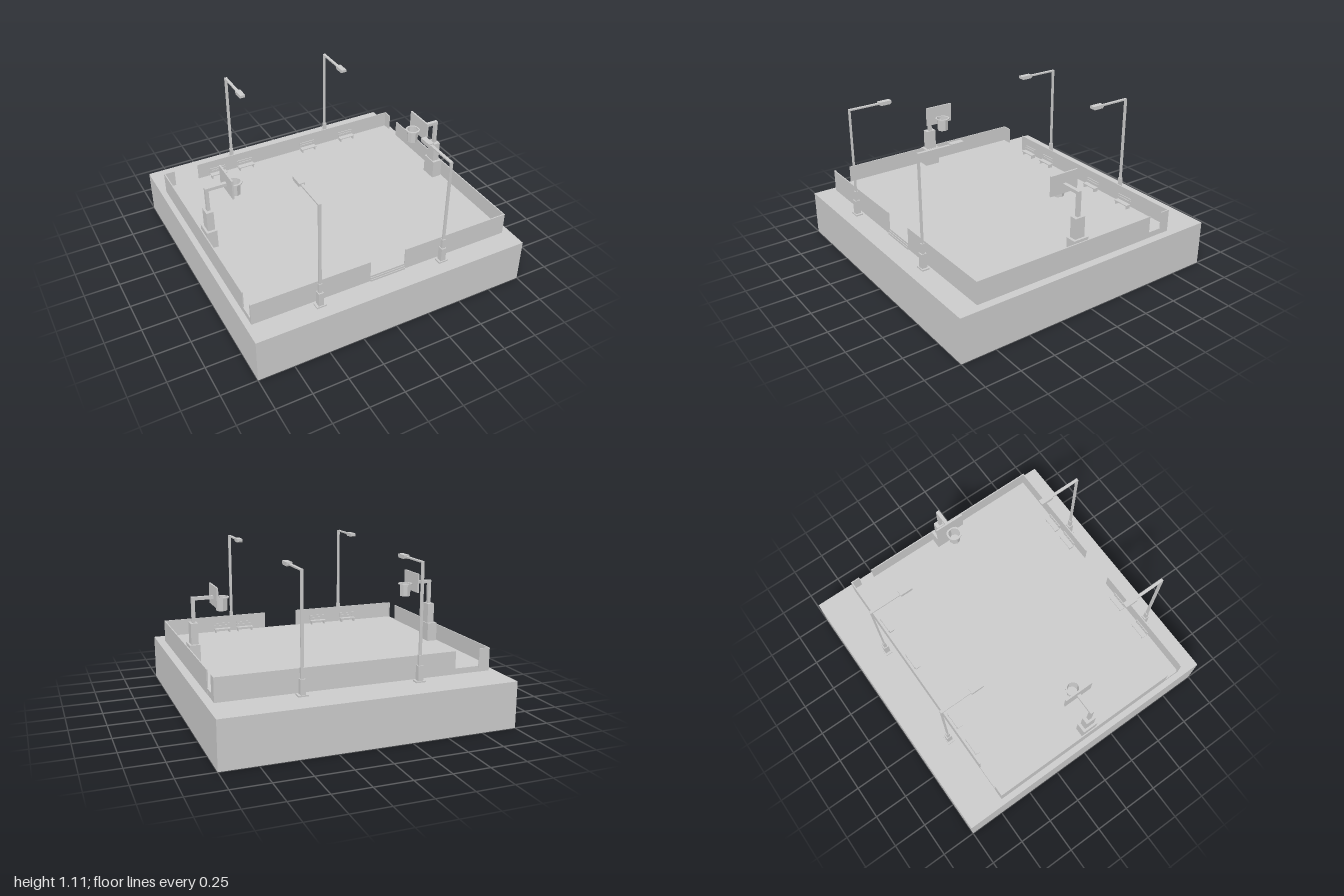
import * as THREE from 'three';

const GROUND = 0.32, FLOOR = 0.36;
const mat = new THREE.MeshStandardMaterial({ color: 0xcccccc, flatShading: true });
const matDouble = new THREE.MeshStandardMaterial({ color: 0xcccccc, flatShading: true, side: THREE.DoubleSide });

function add(parent, name, geometry, x = 0, y = 0, z = 0, material = mat) {
  const mesh = new THREE.Mesh(geometry, material);
  mesh.position.set(x, y, z);
  mesh.name = name;
  parent.add(mesh);
  return mesh;
}

// Box given by its minimum and maximum on each axis
function box(parent, name, [x0, x1], [y0, y1], [z0, z1]) {
  return add(parent, name, new THREE.BoxGeometry(x1 - x0, y1 - y0, z1 - z0),
    (x0 + x1) / 2, (y0 + y1) / 2, (z0 + z1) / 2);
}

function group(parent, name, x = 0, y = 0, z = 0) {
  const g = new THREE.Group();
  g.name = name;
  g.position.set(x, y, z);
  parent.add(g);
  return g;
}

// Wall along local x with an opening between two lengths
function fenceWall(parent, name, start, end, gap0, gap1) {
  const h = 0.16, t = 0.004;
  const wall = group(parent, name);
  box(wall, 'fencePanel', [start, gap0], [0, h], [-t, t]);
  box(wall, 'fencePanel', [gap1, end], [0, h], [-t, t]);
  return wall;
}

function addFence(parent) {
  const f = group(parent, 'fence', 0, GROUND, 0);
  fenceWall(f, 'frontFence', -0.959, 0.943, -0.12, 0.14).position.z = 0.841;
  const back = fenceWall(f, 'backFence', -0.943, 0.959, 0.7, 0.88);
  back.position.z = -0.715;
  back.rotation.y = Math.PI;
  // Side walls run along z
  const left = fenceWall(f, 'leftFence', -0.841, 0.715, 0.545, 0.65);
  left.position.x = 0.939;
  left.rotation.y = Math.PI / 2;
  const right = fenceWall(f, 'rightFence', -0.715, 0.841, 0.72, 0.83);
  right.position.x = -0.955;
  right.rotation.y = -Math.PI / 2;
}

// Raised playing floor with shallow steps at the entrance
function addFloor(parent) {
  box(parent, 'courtFloor', [-0.958, 0.942], [GROUND, FLOOR], [-0.718, 0.843]);
  for (let i = 1; i <= 2; i++) {
    box(parent, 'entranceStep', [-0.12, 0.14], [GROUND, FLOOR - i * 0.0133], [0.843, 0.843 + i * 0.005]);
  }
}

// Street lamp whose arm reaches along local -z
function addLamp(parent, x, z, turned) {
  const g = group(parent, 'streetLamp', x, GROUND, z);
  box(g, 'lampFoot', [-0.034, 0.034], [0, 0.01], [-0.026, 0.026]);
  box(g, 'lampPedestal', [-0.018, 0.018], [0.01, 0.11], [-0.019, 0.019]);
  box(g, 'lampSleeve', [-0.012, 0.012], [0.11, 0.18], [-0.011, 0.011]);
  box(g, 'lampPole', [-0.01, 0.01], [0.18, 0.785], [-0.005, 0.005]);
  box(g, 'lampArm', [-0.01, 0.01], [0.777, 0.787], [-0.225, 0.005]);
  // Lamp head with a bevelled underside
  const s = new THREE.Shape();
  [[0.22, 0.794], [0.22, 0.775], [0.23, 0.768], [0.3, 0.768], [0.31, 0.775], [0.31, 0.794]]
    .forEach(([a, b], i) => (i ? s.lineTo(a, b) : s.moveTo(a, b)));
  const geo = new THREE.ExtrudeGeometry(s, { depth: 0.038, bevelEnabled: false });
  geo.translate(0, 0, -0.019);
  geo.rotateY(Math.PI / 2);
  add(g, 'lampHead', geo);
  if (turned) g.rotation.y = Math.PI;
}

// Basketball hoop facing local +x, origin under the post
function addHoop(parent, x, turned) {
  const g = group(parent, 'basketballHoop', x, 0, 0.046);
  box(g, 'hoopFoot', [-0.042, 0.031], [FLOOR, 0.495], [-0.058, 0.058]);
  box(g, 'hoopPedestal', [-0.026, 0.024], [0.495, 0.64], [-0.038, 0.038]);
  box(g, 'hoopPost', [-0.01, 0.013], [0.64, 0.815], [-0.013, 0.013]);
  box(g, 'hoopArm', [0.013, 0.142], [0.793, 0.815], [-0.013, 0.013]);
  box(g, 'backboard', [0.14, 0.152], [0.745, 0.885], [-0.107, 0.107]);
  box(g, 'rimBracket', [0.152, 0.162], [0.793, 0.803], [-0.015, 0.015]);

  // Thin flat rim
  const ring = new THREE.Shape().absarc(0, 0, 0.053, 0, Math.PI * 2);
  ring.holes.push(new THREE.Path().absarc(0, 0, 0.04, 0, Math.PI * 2, true));
  const rim = add(g, 'rim', new THREE.ExtrudeGeometry(ring, { depth: 0.007, bevelEnabled: false, curveSegments: 8 }),
    0.199, 0.803, 0);
  rim.rotation.x = Math.PI / 2;
  // Open net
  add(g, 'net', new THREE.CylinderGeometry(0.042, 0.039, 0.09, 8, 1, true), 0.199, 0.754, 0, matDouble);
  if (turned) g.rotation.y = Math.PI;
}

// Park bench facing local +z
function addBench(parent, x, z, turned) {
  const g = group(parent, 'bench', x, FLOOR, z);
  box(g, 'seat', [-0.063, 0.063], [0.024, 0.031], [-0.016, 0.022]);
  for (const y of [0.038, 0.056]) {
    box(g, 'backSlat', [-0.063, 0.063], [y, y + 0.014], [-0.021, -0.015]);
  }
  for (const s of [-1, 1]) {
    const lx = s * 0.054;
    box(g, 'benchLeg', [lx - 0.004, lx + 0.004], [0, 0.024], [-0.016, 0.018]);
    box(g, 'backSupport', [lx - 0.004, lx + 0.004], [0.02, 0.068], [-0.022, -0.016]);
  }
  if (turned) g.rotation.y = Math.PI;
}

export function createModel() {
  const model = new THREE.Group();
  model.name = 'basketballCourt';

  box(model, 'groundBlock', [-1, 1], [0, GROUND], [-1, 1]);
  addFloor(model);
  addFence(model);

  // Lamps outside the fence, reaching inwards
  addLamp(model, -0.51, 0.888, false);
  addLamp(model, 0.403, 0.888, false);
  addLamp(model, -0.402, -0.777, true);
  addLamp(model, 0.403, -0.777, true);

  addHoop(model, -0.9, false);
  addHoop(model, 0.888, true);

  // Benches with their backs to the fence
  for (const x of [-0.555, -0.33, 0.203, 0.546]) addBench(model, x, -0.673, false);
  for (const x of [-0.557, -0.297, 0.32, 0.5]) addBench(model, x, 0.802, true);

  return model;
}
